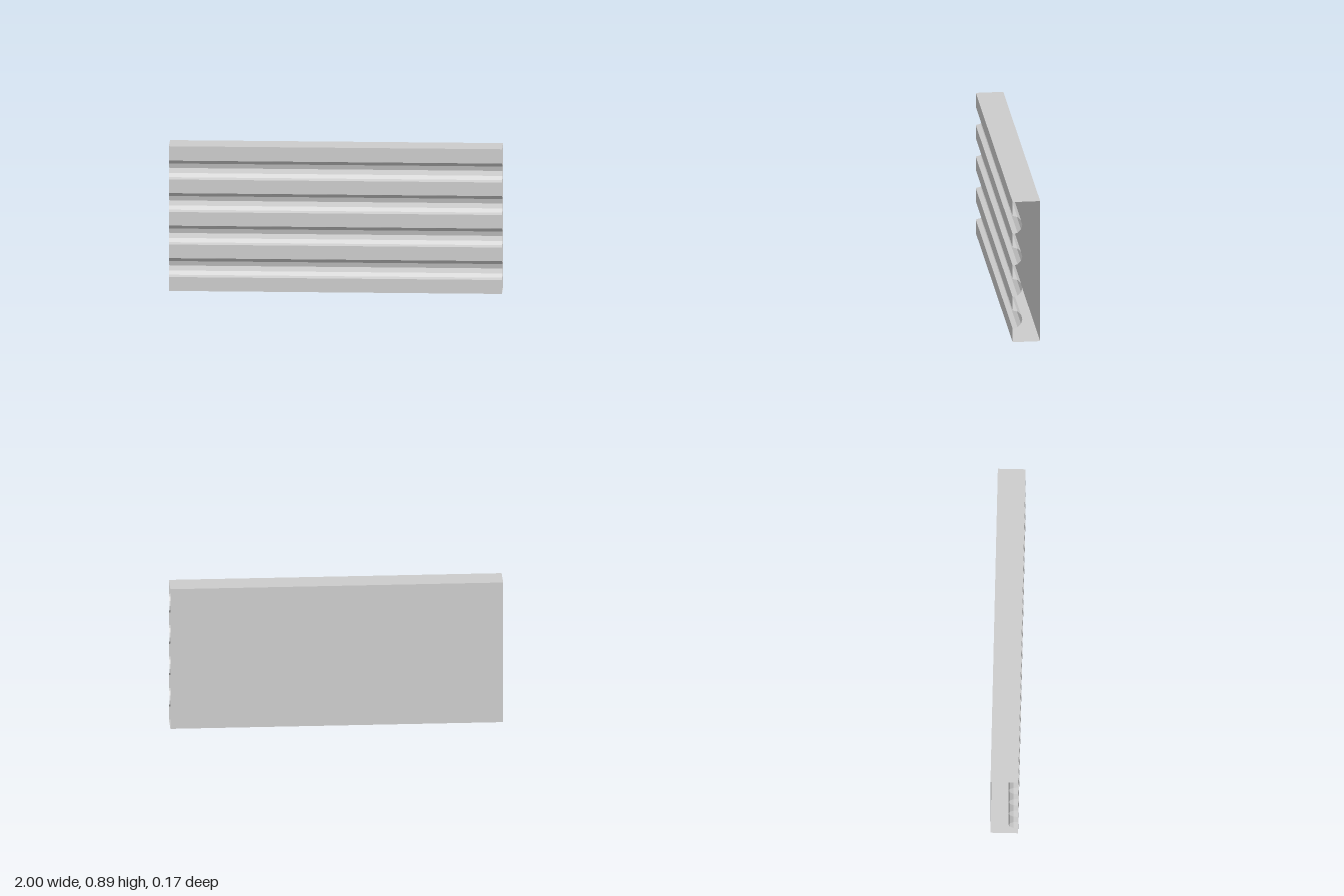
import * as THREE from 'three';

const HALF_LENGTH = 1, HALF_DEPTH = 0.083, HEIGHT = 0.89;
const GROOVES = 4, PITCH = 0.2, FIRST = 0.1435, RADIUS = 0.058, SEGMENTS = 6;

// Sweeps a [z, y] profile along x into flat, open-ended strips
function sweep(profile) {
  const pos = [];
  for (let i = 0; i < profile.length - 1; i++) {
    const [z0, y0] = profile[i], [z1, y1] = profile[i + 1], L = HALF_LENGTH;
    pos.push(-L, y0, z0, L, y0, z0, L, y1, z1);
    pos.push(-L, y0, z0, L, y1, z1, -L, y1, z1);
  }
  const geometry = new THREE.BufferGeometry();
  geometry.setAttribute('position', new THREE.Float32BufferAttribute(pos, 3));
  geometry.computeVertexNormals();
  return geometry;
}

export function createModel() {
  const group = new THREE.Group();
  group.name = 'groovedPanel';
  const material = new THREE.MeshStandardMaterial({
    color: 0xcccccc, flatShading: true, side: THREE.DoubleSide,
  });
  const add = (name, profile) => {
    const mesh = new THREE.Mesh(sweep(profile), material);
    mesh.name = name;
    group.add(mesh);
  };

  // Front face with half-round grooves, from bottom to top
  const front = [[HALF_DEPTH, 0]];
  for (let g = 0; g < GROOVES; g++) {
    for (let i = 0; i <= SEGMENTS; i++) {
      const a = (i / SEGMENTS) * Math.PI;
      front.push([
        HALF_DEPTH - RADIUS * Math.sin(a),
        FIRST + g * PITCH - RADIUS * Math.cos(a),
      ]);
    }
  }
  front.push([HALF_DEPTH, HEIGHT]);
  add('groovedFront', front);

  // Plain walls; both ends stay open
  add('topWall', [[HALF_DEPTH, HEIGHT], [-HALF_DEPTH, HEIGHT]]);
  add('backWall', [[-HALF_DEPTH, HEIGHT], [-HALF_DEPTH, 0]]);
  add('bottomWall', [[-HALF_DEPTH, 0], [HALF_DEPTH, 0]]);
  return group;
}
